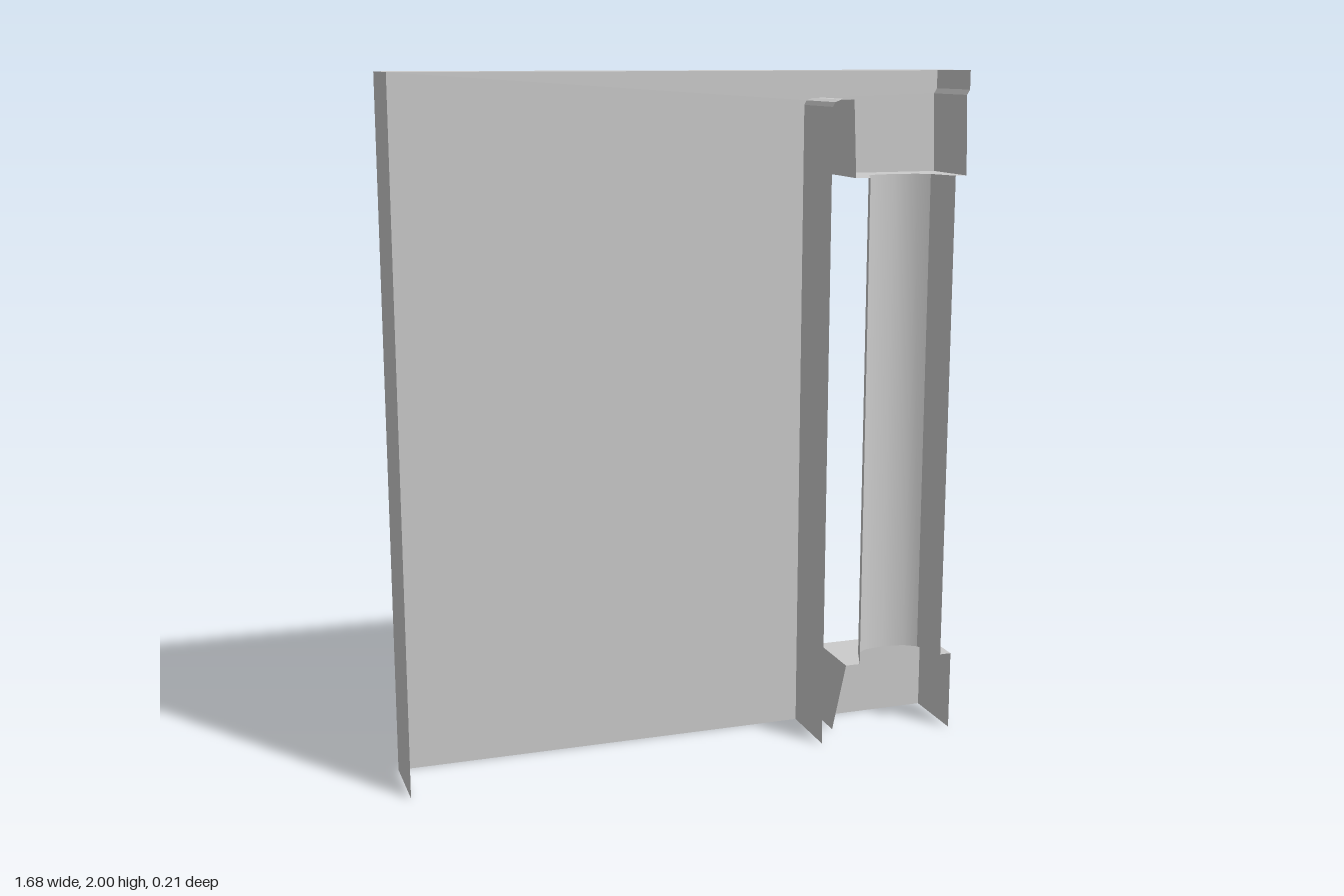
import * as THREE from 'three';
import { toCreasedNormals } from 'three/addons/utils/BufferGeometryUtils.js';

const D = 0.105; // half depth

export function createModel() {
  const group = new THREE.Group();
  const material = new THREE.MeshStandardMaterial({ color: 0xcccccc, side: THREE.DoubleSide });

  const add = (name, geometry) => {
    const mesh = new THREE.Mesh(geometry, material);
    mesh.name = name;
    group.add(mesh);
    return mesh;
  };

  // Sweeps a chain of 3D points along a straight vector
  const ribbon = (points, along, crease) => {
    const verts = [];
    for (let i = 0; i < points.length - 1; i++) {
      const a = new THREE.Vector3(...points[i]);
      const b = new THREE.Vector3(...points[i + 1]);
      const c = b.clone().add(along);
      const d = a.clone().add(along);
      for (const p of [a, b, c, a, c, d]) verts.push(p.x, p.y, p.z);
    }
    const geometry = new THREE.BufferGeometry();
    geometry.setAttribute('position', new THREE.Float32BufferAttribute(verts, 3));
    geometry.computeVertexNormals();
    return crease ? toCreasedNormals(geometry, crease) : geometry;
  };

  const flat = (points) =>
    new THREE.ShapeGeometry(new THREE.Shape(points.map(([x, y]) => new THREE.Vector2(x, y))));

  // Flat face at the back, looking towards -z
  const backFace = (points) =>
    flat(points.map(([x, y]) => [-x, y])).rotateY(Math.PI).translate(0, 0, -D);

  const zSweep = new THREE.Vector3(0, 0, 2 * D);
  const atBack = ([x, y]) => [x, y, -D];

  // Wall slab joined to the capital by the top, open at front and bottom
  const outline = [
    [0.41, 0], [0.41, 1.9], [0.417, 1.913], [0.435, 1.92], [0.475, 1.92], [0.485, 1.7],
    [0.835, 1.7], [0.828, 1.93], [0.837, 1.945], [0.837, 2], [-0.84, 2], [-0.84, 0],
  ];
  add('wallBack', backFace(outline));
  add('wallEdges', ribbon(outline.slice(0, 6).map(atBack), zSweep));
  add('capitalAndTopEdges', ribbon(outline.slice(6).map(atBack), zSweep));

  // Half column, hollow towards the front
  const column = [
    [0.8, D], [0.765, 0.015], [0.73, -0.01], [0.665, -0.02],
    [0.6, -0.01], [0.565, 0.015], [0.53, D],
  ];
  add('column', ribbon(column.map(([x, z]) => [x, 0.24, z]), new THREE.Vector3(0, 1.46, 0), 0.55));

  // Ledges around the column
  const ledge = [[0.835, D], ...column, [0.485, D], [0.485, -D], [0.835, -D]];
  add('capitalUnderside', flat(ledge).rotateX(Math.PI / 2).translate(0, 1.7, 0));
  add('baseTop', flat(ledge.map(([x, z]) => [x, -z])).rotateX(-Math.PI / 2).translate(0, 0.24, 0));

  // Base block, its inner side cut back at the lower front corner
  add('baseBack', backFace([[0.485, 0], [0.835, 0], [0.835, 0.24], [0.485, 0.24]]));
  add('baseOuterSide', ribbon([[0.835, 0, -D], [0.835, 0.24, -D]], zSweep));
  add('baseInnerSide', flat([[-D, 0], [0.01, 0], [D, 0.24], [-D, 0.24]])
    .rotateY(-Math.PI / 2).translate(0.485, 0, 0));

  return group;
}
